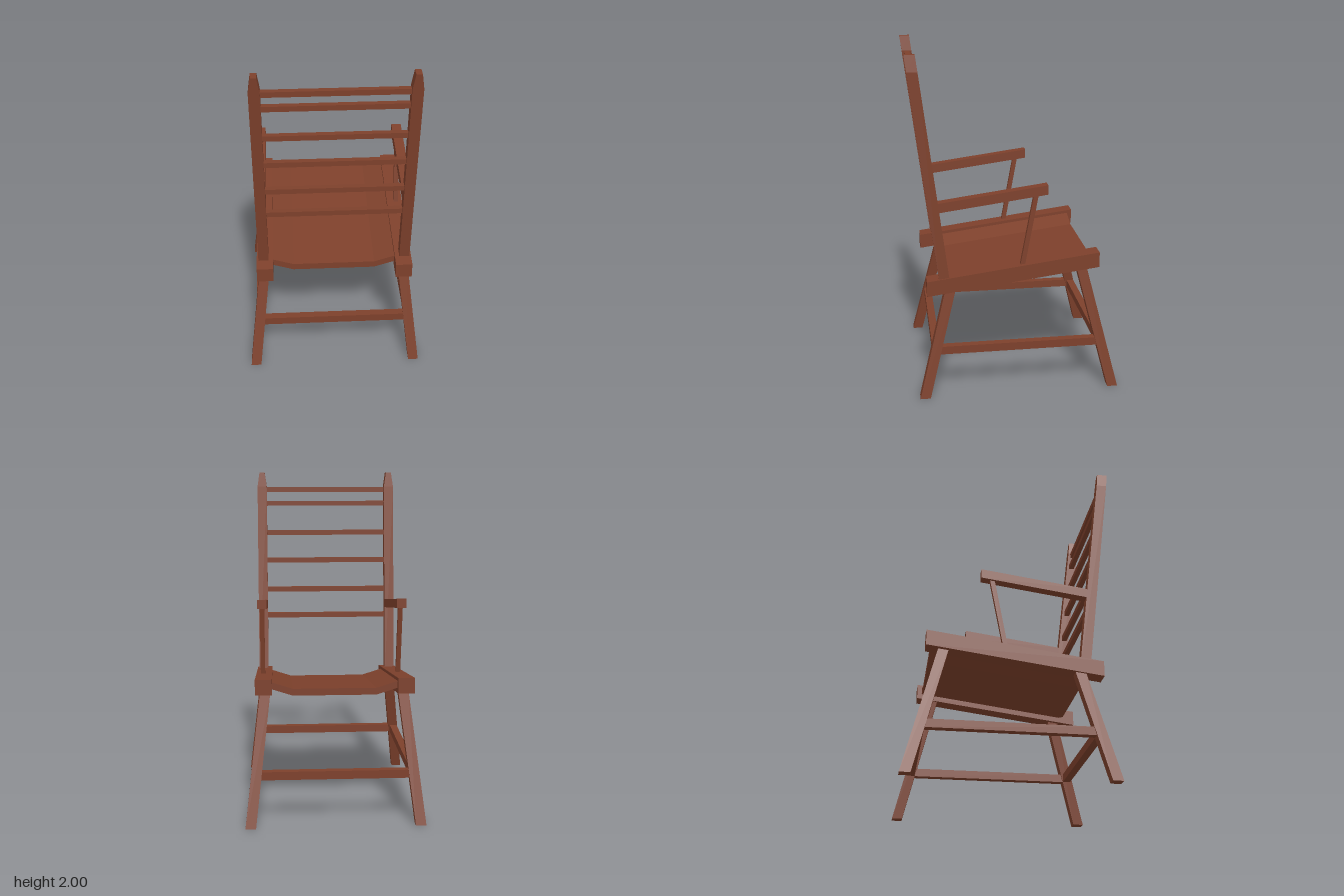
import * as THREE from 'three';

const wood = new THREE.MeshStandardMaterial({ color: 0x7d402b, flatShading: true });

// Straight bar from a to b along one main axis; its ends stay square to that axis.
// w and d are the sizes across it, tipScale narrows the x size at the end b.
function bar(name, axis, a, b, w, d, tipScale = 1) {
  const size = { x: [1, w, d], y: [w, 1, d], z: [w, d, 1] }[axis];
  const k = 'xyz'.indexOf(axis);
  const geo = new THREE.BoxGeometry(...size);
  const pos = geo.attributes.position;
  for (let i = 0; i < pos.count; i++) {
    const p = [pos.getX(i), pos.getY(i), pos.getZ(i)];
    const t = p[k] + 0.5;
    p[k] = 0;
    p[0] *= 1 + (tipScale - 1) * t;
    pos.setXYZ(i, ...p.map((v, j) => v + a[j] + (b[j] - a[j]) * t));
  }
  geo.computeVertexNormals();
  const mesh = new THREE.Mesh(geo, wood);
  mesh.name = name;
  return mesh;
}

// Height of the sloping seat line at depth z
const seatY = (z) => 0.734 + 0.129 * z;
// Depth of the leaning back posts at height y
const postZ = (y) => -0.432 - 0.123 * (y - 0.72);
// Splayed leg centre at height y
const legX = (y) => 0.487 - 0.117 * y;
const legZ = (y) => 0.561 - 0.252 * y;

// Dished seat panel: folded cross-section, extruded and sloped
function seat() {
  const outline = [
    [-0.37, 0.03], [-0.24, -0.012], [0.24, -0.012], [0.37, 0.03],
    [0.37, -0.01], [0.24, -0.052], [-0.24, -0.052], [-0.37, -0.01],
  ].map(([x, y]) => new THREE.Vector2(x, y));
  const geo = new THREE.ExtrudeGeometry(new THREE.Shape(outline), { depth: 0.882, bevelEnabled: false });
  geo.translate(0, 0, -0.437);
  const pos = geo.attributes.position;
  for (let i = 0; i < pos.count; i++) pos.setY(i, pos.getY(i) + seatY(pos.getZ(i)));
  geo.computeVertexNormals();
  const mesh = new THREE.Mesh(geo, wood);
  mesh.name = 'seat';
  return mesh;
}

export function createModel() {
  const chair = new THREE.Group();
  chair.name = 'armchair';
  chair.add(seat());

  const sy = 0.285; // stretcher height
  for (const [side, s] of [['left', 1], ['right', -1]]) {
    const px = s * 0.416;

    // Seat rail
    const rx = s * 0.408;
    chair.add(bar(side + 'SeatRail', 'z', [rx, seatY(-0.532), -0.532], [rx, seatY(0.473), 0.473], 0.096, 0.09));

    // Legs, cut flat on the ground
    for (const [end, f, top] of [['Front', 1, 0.76], ['Back', -1, 0.67]]) {
      chair.add(bar(side + end + 'Leg', 'y',
        [s * legX(0), 0, f * legZ(0)], [s * legX(top), top, f * legZ(top)], 0.06, 0.06));
    }

    // Side stretcher
    chair.add(bar(side + 'Stretcher', 'z',
      [s * legX(sy), sy, -legZ(sy)], [s * legX(sy), sy, legZ(sy)], 0.045, 0.048));

    // Back post with tapered tip
    const post = new THREE.Group();
    post.name = side + 'BackPost';
    post.add(
      bar('postShaft', 'y', [px, 0.66, postZ(0.66)], [px, 1.91, postZ(1.91)], 0.06, 0.06),
      bar('postTip', 'y', [px, 1.91, postZ(1.91)], [px, 2, postZ(2)], 0.06, 0.06, 0.55),
    );
    chair.add(post);

    // Armrest and its leaning spindle
    chair.add(bar(side + 'Armrest', 'z', [px, 1.143, -0.475], [px, 1.228, 0.167], 0.058, 0.055));
    chair.add(bar(side + 'ArmSpindle', 'y', [px, 0.75, 0.02], [px, 1.21, 0.104], 0.027, 0.027));
  }

  // Front and back stretchers
  for (const [name, f] of [['frontStretcher', 1], ['backStretcher', -1]]) {
    const x = legX(sy), z = f * legZ(sy);
    chair.add(bar(name, 'x', [-x, sy, z], [x, sy, z], 0.048, 0.045));
  }

  // Back slats
  [1.07, 1.24, 1.43, 1.61, 1.8, 1.89].forEach((y, i) => {
    chair.add(bar('backSlat' + (i + 1), 'x', [-0.4, y, postZ(y)], [0.4, y, postZ(y)], 0.031, 0.031));
  });

  // The chair stands turned on the ground
  chair.rotation.y = Math.PI - 0.651;
  const model = new THREE.Group();
  model.name = 'model';
  model.add(chair);
  return model;
}
